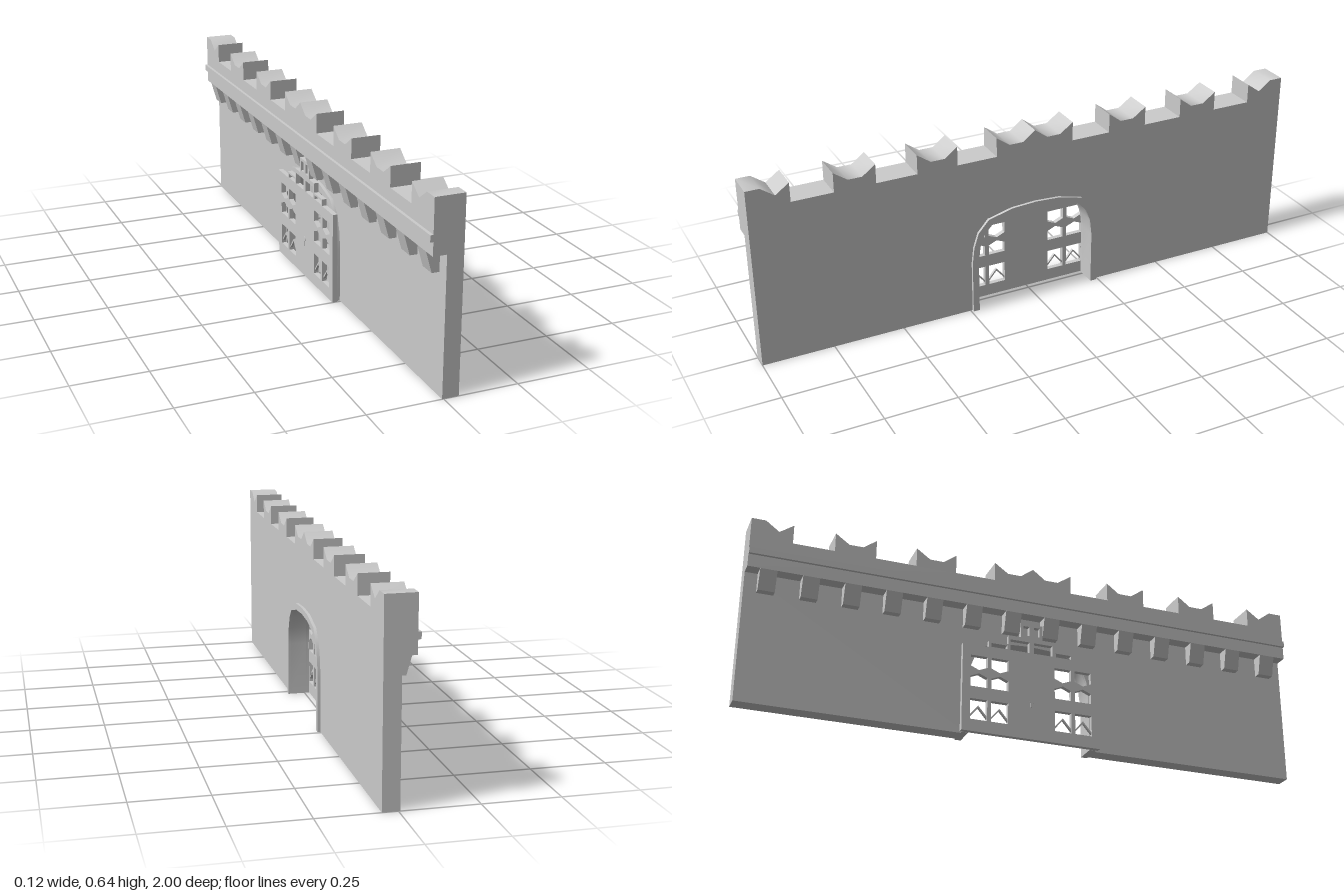
import * as THREE from 'three';
import { toCreasedNormals } from 'three/addons/utils/BufferGeometryUtils.js';

const material = new THREE.MeshStandardMaterial({ color: 0xcccccc });
const V = (p) => new THREE.Vector2(p[0], p[1]);
const mirror = (pts) => pts.map(([z, y]) => [-z, y]);

export function createModel() {
  const model = new THREE.Group();

  function add(name, geometry) {
    const mesh = new THREE.Mesh(geometry, material);
    mesh.name = name;
    model.add(mesh);
    return mesh;
  }

  // Outline drawn in (z, y), given thickness from x0 to x1
  function slab(name, outline, x0, x1, holes = []) {
    const shape = new THREE.Shape(outline.map(V));
    holes.forEach((h) => shape.holes.push(new THREE.Path(h.map(V))));
    const g = new THREE.ExtrudeGeometry(shape, { depth: x1 - x0, bevelEnabled: false });
    g.rotateY(-Math.PI / 2).translate(x1, 0, 0);
    return add(name, toCreasedNormals(g, 0.65));
  }

  function box(name, x0, x1, y0, y1, z0, z1) {
    const g = new THREE.BoxGeometry(x1 - x0, y1 - y0, z1 - z0);
    g.translate((x0 + x1) / 2, (y0 + y1) / 2, (z0 + z1) / 2);
    return add(name, g);
  }

  const rect = (z0, z1, y0, y1) => [[z0, y0], [z1, y0], [z1, y1], [z0, y1]];

  // Flattened arch, from the right foot over the crown to the left foot
  const arch = (half) => [...half, ...mirror(half.slice(0, -1)).reverse()];
  const inner = arch([[0.22, 0], [0.22, 0.19], [0.213, 0.25], [0.196, 0.295], [0.165, 0.328], [0.085, 0.348], [0, 0.353]]);
  const outer = arch([[0.243, 0], [0.243, 0.19], [0.236, 0.25], [0.219, 0.303], [0.18, 0.347], [0.09, 0.37], [0, 0.375]]);

  // Lower wall with the gateway cut out
  const overhang = 0.46;
  slab('wall', [[-1, 0], [-1, overhang], [1, overhang], [1, 0], ...inner], -0.005, 0.05);

  // Arch surrounds on both faces
  const ring = [...outer, ...inner.slice().reverse()];
  slab('outerArchFrame', ring, 0.05, 0.06);
  slab('innerArchFrame', ring, -0.016, -0.005);

  // Parapet with scooped merlons, built for one half and mirrored
  const top = 0.64, dip = 0.606, base = 0.572, unit = 1 / 7;
  const scoop = (z) => [
    [z, top], [z + unit * 0.32, dip], [z + unit * 0.66, dip], [z + unit, top],
  ];
  const half = [[0, top], ...scoop(0).slice(1), [unit, base]];
  for (const k of [2, 4]) {
    half.push([k * unit, base], ...scoop(k * unit), [(k + 1) * unit, base]);
  }
  half.push([6 * unit, base], [6 * unit, top], [0.905, dip], [0.952, top], [1, top]);
  const crest = [...mirror(half.slice(1)).reverse(), ...half];
  slab('parapet', [[1, overhang], [-1, overhang], ...crest], -0.05, 0.05);

  // String course along the parapet
  box('stringCourse', -0.06, -0.05, 0.505, 0.527, -1, 1);

  // Row of tapered corbels under the overhang
  const corbelShape = new THREE.Shape([[-0.005, 0.39], [-0.005, 0.46], [-0.05, 0.46], [-0.03, 0.39]].map(V));
  const corbel = new THREE.ExtrudeGeometry(corbelShape, { depth: 0.057, bevelEnabled: false });
  corbel.translate(0, 0, -0.0285);
  for (let i = 0; i < 14; i++) {
    add('corbel', corbel).position.z = (i - 6.5) * unit;
  }

  // Gate with a stepped head; windows mirrored left and right
  const steps = [[0.25, 0], [0.25, 0.318], [0.157, 0.318], [0.157, 0.341], [0.085, 0.341], [0.085, 0.375], [0.04, 0.375], [0.04, 0.43]];
  const panes = [
    rect(0.09, 0.148, 0.32, 0.334),
    rect(0.008, 0.078, 0.32, 0.36),
    rect(0.008, 0.03, 0.385, 0.42),
  ];
  for (const z of [0.085, 0.16]) {
    const w = 0.061, m = z + w / 2;
    panes.push(
      [[z, 0.238], [m, 0.225], [z + w, 0.238], [z + w, 0.278], [z, 0.278]],
      [[z, 0.163], [z + w, 0.163], [z + w, 0.2], [m, 0.213], [z, 0.2]],
      rect(z, z + w, 0.043, 0.118),
    );
  }
  slab('gate', [...steps, ...mirror(steps).reverse()], -0.035, -0.018, [...panes, ...panes.map(mirror)]);

  // Zigzag bars across the lowest panes
  for (const s of [-1, 1]) {
    for (const z of [0.085, 0.16]) {
      const w = 0.061, t = 0.008;
      const low = [[z, 0.052], [z + w / 2, 0.088], [z + w, 0.052]];
      const bar = [...low, ...low.map(([a, y]) => [a, y + t]).reverse()];
      slab('zigzagBar', s > 0 ? bar : mirror(bar), -0.031, -0.022);
    }
  }

  // Lock plate at the meeting of the two leaves
  const lock = new THREE.CylinderGeometry(0.009, 0.009, 0.003, 12);
  lock.rotateZ(Math.PI / 2).translate(-0.0355, 0.14, 0);
  add('lock', lock);
  box('lockPlate', -0.037, -0.034, 0.115, 0.133, -0.004, 0.004);

  return model;
}
